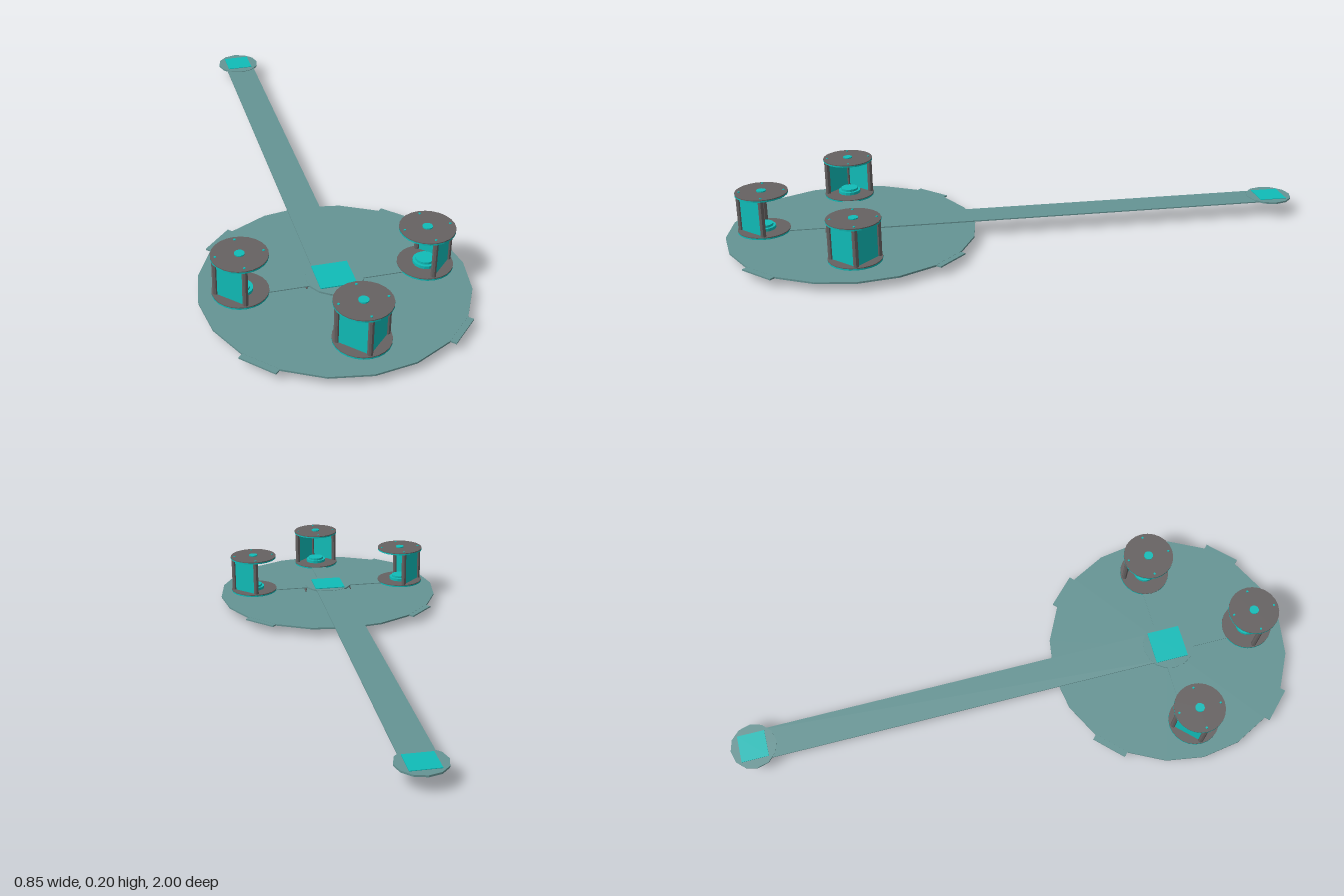
import * as THREE from 'three';

const mat = (color) => new THREE.MeshStandardMaterial({ color, flatShading: true, side: THREE.DoubleSide });

export function createModel() {
  const model = new THREE.Group();
  model.name = 'platform';
  const slate = mat(0x659494), cyan = mat(0x10bcb8), grey = mat(0x666262);
  const CZ = 0.577; // centre of the round deck

  const add = (parent, name, geometry, material, x, y, z) => {
    const mesh = new THREE.Mesh(geometry, material);
    mesh.name = name;
    mesh.position.set(x, y, z);
    parent.add(mesh);
    return mesh;
  };
  // Plates given by their bottom and top heights
  const disc = (parent, name, r, y0, y1, sides, material, x = 0, z = 0) =>
    add(parent, name, new THREE.CylinderGeometry(r, r, y1 - y0, sides), material, x, (y0 + y1) / 2, z);
  const slab = (parent, name, w, d, y0, y1, material, x = 0, z = 0) =>
    add(parent, name, new THREE.BoxGeometry(w, y1 - y0, d), material, x, (y0 + y1) / 2, z);

  // Round deck with four tabs on the diagonals
  disc(model, 'deck', 0.4225, 0.028, 0.034, 20, slate, 0, CZ);
  for (let i = 0; i < 4; i++) {
    const a = Math.PI / 4 + i * Math.PI / 2;
    const tab = slab(model, 'deckTab', 0.125, 0.06, 0.0285, 0.0335, slate,
      Math.sin(a) * 0.407, CZ + Math.cos(a) * 0.407);
    tab.rotation.y = a;
  }

  // Splayed foot: a ring carried by four flat legs
  const ring = add(model, 'footRing', new THREE.TorusGeometry(0.097, 0.003, 6, 24), grey, 0, 0.003, CZ);
  ring.rotation.x = Math.PI / 2;
  const lean = Math.atan2(0.013, 0.05);
  for (let i = 0; i < 4; i++) {
    const pivot = new THREE.Group();
    pivot.name = 'footLeg';
    pivot.position.set(0, 0, CZ);
    pivot.rotation.y = i * Math.PI / 2;
    add(pivot, 'legStrip', new THREE.BoxGeometry(0.027, 0.052, 0.003), grey, 0, 0.029, 0.0915).rotation.x = -lean;
    model.add(pivot);
  }

  // Hub and arms
  const bolts = (parent, r, y, x = 0, z = 0) => {
    for (let i = 0; i < 4; i++) {
      const a = i * Math.PI / 2;
      disc(parent, 'bolt', 0.004, y, y + 0.002, 6, cyan, x + Math.sin(a) * r, z + Math.cos(a) * r);
    }
  };
  disc(model, 'hub', 0.09, 0.053, 0.059, 16, slate, 0, CZ);
  slab(model, 'hubPad', 0.115, 0.115, 0.058, 0.062, cyan, 0, CZ - 0.003);
  slab(model, 'longArm', 0.11, 1.5, 0.054, 0.058, slate, 0, CZ - 0.75);
  disc(model, 'endPlate', 0.08, 0.054, 0.06, 12, slate, 0, -0.92);
  slab(model, 'endPad', 0.095, 0.095, 0.059, 0.062, cyan, 0, -0.922);

  // Three open-backed pods, each on a short arm
  const podDistance = 0.293, postRadius = 0.076;
  for (const angle of [-Math.PI / 2, 0, Math.PI / 2]) {
    const branch = new THREE.Group();
    branch.name = 'podBranch';
    branch.position.set(0, 0, CZ);
    branch.rotation.y = angle;
    model.add(branch);
    slab(branch, 'shortArm', 0.058, podDistance, 0.0545, 0.0575, slate, 0, podDistance / 2);

    const pod = new THREE.Group();
    pod.name = 'pod';
    pod.position.z = podDistance;
    branch.add(pod);
    for (const [name, y] of [['lowerPlate', 0.053], ['upperPlate', 0.185]]) {
      disc(pod, name, 0.0875, y, y + 0.005, 24, cyan);
      disc(pod, name + 'Cover', 0.0875, y + 0.005, y + 0.008, 24, grey);
    }
    bolts(pod, 0.073, 0.193);
    disc(pod, 'topCap', 0.016, 0.193, 0.197, 12, cyan);

    // Low stepped mount inside
    disc(pod, 'mountBase', 0.039, 0.061, 0.071, 16, cyan);
    disc(pod, 'mountTop', 0.03, 0.071, 0.079, 16, cyan);

    // Posts and the two flat wall panels between them
    for (const a of [-Math.PI / 2, 0, Math.PI / 2])
      disc(pod, 'post', 0.009, 0.061, 0.185, 8, grey, Math.sin(a) * postRadius, Math.cos(a) * postRadius);
    for (const s of [-1, 1]) {
      const panel = slab(pod, 'wallPanel', postRadius * Math.SQRT2, 0.004, 0.061, 0.185, cyan,
        s * postRadius / 2, postRadius / 2);
      panel.rotation.y = s * Math.PI / 4;
    }
  }
  return model;
}
